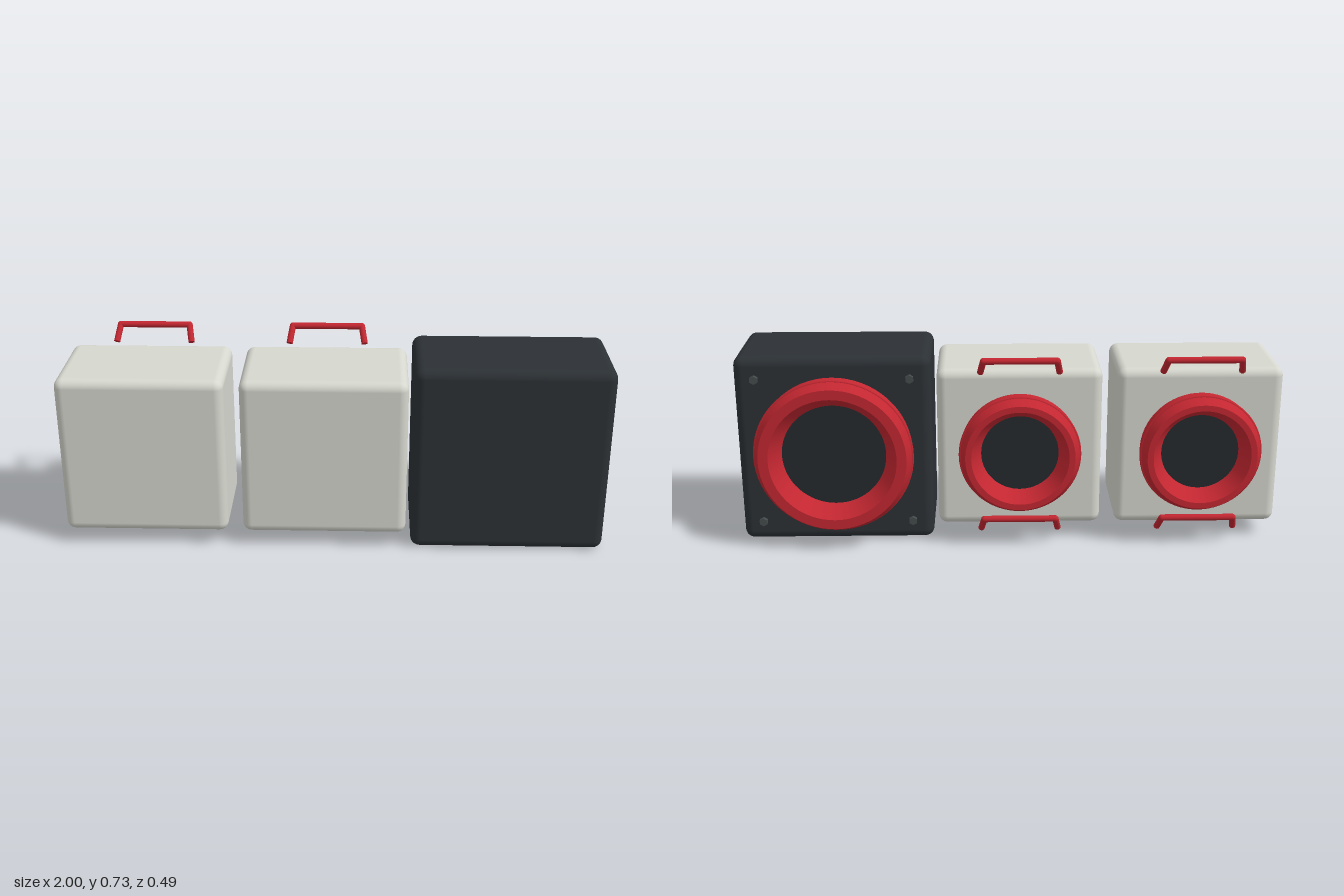
import * as THREE from 'three';
import { toCreasedNormals } from 'three/addons/utils/BufferGeometryUtils.js';
import { RoundedBoxGeometry } from 'three/addons/geometries/RoundedBoxGeometry.js';

const paint = (color) => new THREE.MeshStandardMaterial({ color });
const LIGHT = paint(0xd6d7ce), DARK = paint(0x2c3135), RED = paint(0xc42731);
const GLASS = paint(0x252a2d), STEEL = paint(0x454b4d);

function add(parent, name, geometry, material, x = 0, y = 0, z = 0) {
  const mesh = new THREE.Mesh(geometry, material);
  mesh.name = name;
  mesh.position.set(x, y, z);
  parent.add(mesh);
  return mesh;
}

// Round rod between two points
function rod(parent, name, a, b, radius) {
  const mesh = add(parent, name, new THREE.CylinderGeometry(radius, radius, a.distanceTo(b), 16), RED);
  mesh.position.copy(a).add(b).multiplyScalar(0.5);
  mesh.quaternion.setFromUnitVectors(new THREE.Vector3(0, 1, 0), b.clone().sub(a).normalize());
}

// Funnel-shaped ring with a bead round it and a dark disc inside, facing -z
function porthole(outer, lip, inner) {
  const group = new THREE.Group();
  group.name = 'porthole';
  const profile = [
    [inner, 0], [outer, 0], [outer, 0.06], [outer - 0.018, 0.095],
    [lip, 0.095], [inner, 0.03], [inner, 0],
  ].map(([r, h]) => new THREE.Vector2(r, h));
  const ring = new THREE.LatheGeometry(profile, 64).rotateX(-Math.PI / 2);
  add(group, 'ring', toCreasedNormals(ring, 0.4), RED);
  add(group, 'bead', new THREE.TorusGeometry(outer, 0.006, 8, 64), RED, 0, 0, -0.047);
  const disc = new THREE.CylinderGeometry(inner, inner, 0.03, 64).rotateX(-Math.PI / 2);
  add(group, 'disc', disc, GLASS, 0, 0, -0.015);
  return group;
}

// Slanted carrying handle: two legs, a bar and rounded corners
function handle() {
  const group = new THREE.Group();
  group.name = 'handle';
  const r = 0.012;
  const tops = [-1, 1].map((side) => {
    const foot = new THREE.Vector3(side * 0.143, 0.662, -0.156);
    const top = new THREE.Vector3(side * 0.132, 0.716, -0.2);
    rod(group, 'handleLeg', foot, top, r);
    add(group, 'handleCorner', new THREE.SphereGeometry(r, 16, 12), RED, top.x, top.y, top.z);
    return top;
  });
  rod(group, 'handleBar', tops[0], tops[1], r);
  return group;
}

export function createModel() {
  const model = new THREE.Group();
  model.name = 'cases';

  // Two light cases, each with a porthole and two handles on the back
  for (const x of [-0.697, -0.036]) {
    const unit = new THREE.Group();
    unit.name = 'lightCase';
    unit.position.x = x;
    add(unit, 'lightBody', new RoundedBoxGeometry(0.606, 0.606, 0.381, 4, 0.033), LIGHT, 0, 0.36, 0.0545);
    const port = porthole(0.218, 0.178, 0.142);
    port.position.set(0, 0.36, -0.15);
    unit.add(port);
    for (const drop of [0, 0.61]) {
      const grip = handle();
      grip.position.y = -drop;
      unit.add(grip);
    }
    model.add(unit);
  }

  // Large dark case with a bigger porthole and four corner bolts
  const large = new THREE.Group();
  large.name = 'darkCase';
  large.position.set(0.643, 0.358, 0);
  add(large, 'darkBody', new RoundedBoxGeometry(0.714, 0.714, 0.381, 4, 0.035), DARK, 0, 0, 0.0545);
  const port = porthole(0.286, 0.232, 0.19);
  port.position.z = -0.15;
  large.add(port);
  for (const sx of [-1, 1]) for (const sy of [-1, 1]) {
    const bolt = new THREE.CylinderGeometry(0.016, 0.016, 0.016, 6).rotateX(Math.PI / 2);
    const mesh = add(large, 'bolt', bolt, STEEL, sx * 0.28, sy * 0.278, -0.148);
    mesh.material.flatShading = true;
  }
  model.add(large);
  return model;
}
